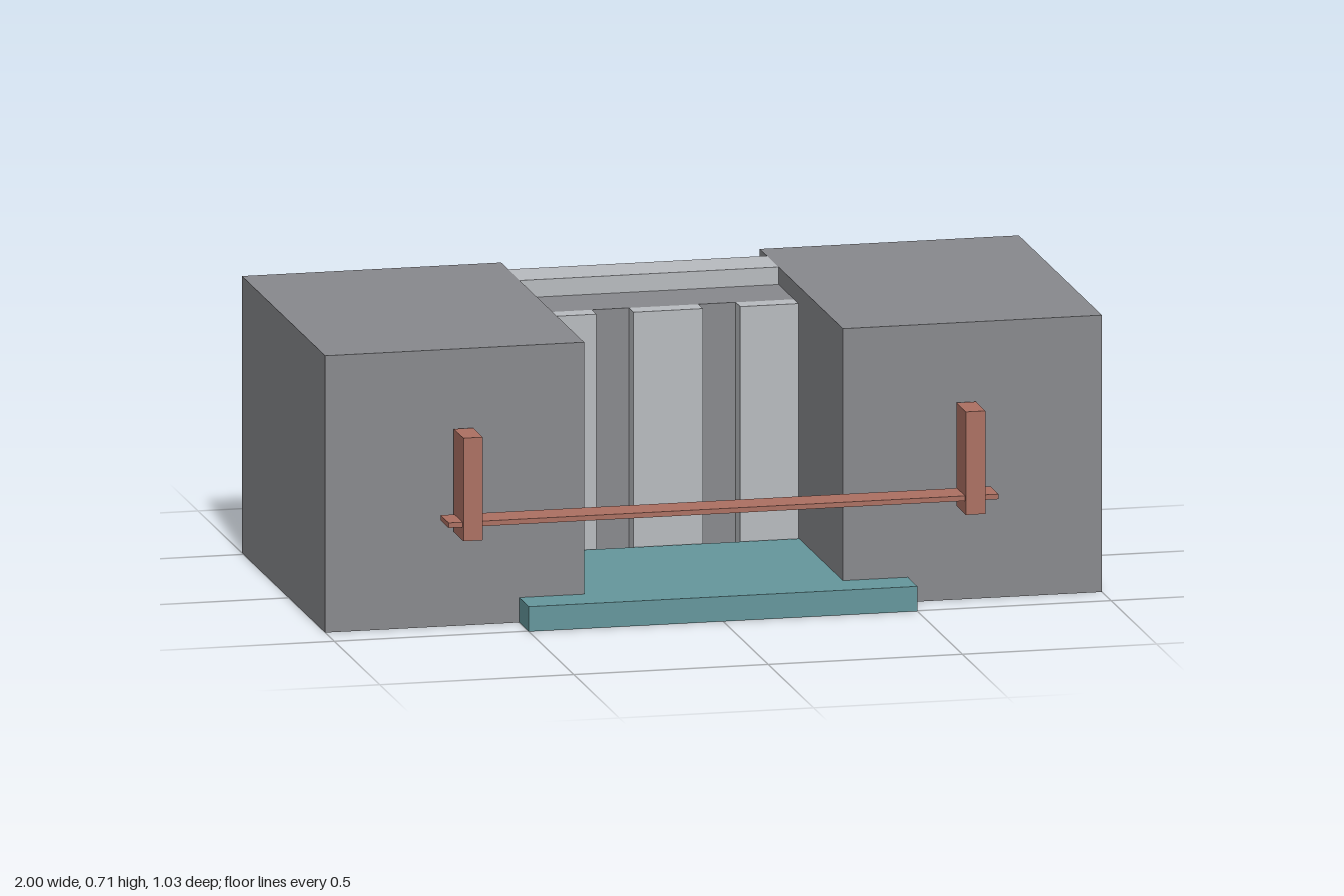
import * as THREE from 'three';

const paint = (name, color) => {
  const m = new THREE.MeshStandardMaterial({ color });
  m.name = name;
  return m;
};

export function createModel() {
  const grey = paint('wall grey', 0x88898d);
  const pale = paint('pale grey', 0xb8bbbf);
  const teal = paint('deck teal', 0x65979c);
  const red = paint('brick red', 0xac7062);
  const model = new THREE.Group();
  model.name = 'building';

  // Box given by its low and high limits on each axis
  const box = (name, material, [x0, x1], [y0, y1], [z0, z1]) => {
    const mesh = new THREE.Mesh(new THREE.BoxGeometry(x1 - x0, y1 - y0, z1 - z0), material);
    mesh.position.set((x0 + x1) / 2, (y0 + y1) / 2, (z0 + z1) / 2);
    mesh.name = name;
    model.add(mesh);
  };

  const inner = 0.333, top = 0.712, low = 0.667;
  const back = -0.517, front = 0.4;

  // Side blocks and the lower wall joining them
  box('leftBlock', grey, [inner, 1], [0, top], [back, front]);
  box('rightBlock', grey, [-1, -inner], [0, top], [back, front]);
  box('backWall', grey, [-inner, inner], [0, low], [back, -0.14]);

  // Roof beam and the pillars on the wall face
  box('roofBeam', pale, [-inner, inner], [low, top], [-0.438, -0.31]);
  for (const [x0, x1] of [[-inner, -0.187], [-0.092, 0.087], [0.183, inner]]) {
    box('pillar', pale, [x0, x1], [0, low], [-0.14, -0.09]);
  }

  // T-shaped entrance deck, drawn in plan and laid flat
  const plan = new THREE.Shape([
    [-0.5, -0.505], [0.5, -0.505], [0.5, -front], [inner, -front],
    [inner, 0.083], [-inner, 0.083], [-inner, -front], [-0.5, -front],
  ].map(([x, y]) => new THREE.Vector2(x, y)));
  const deck = new THREE.Mesh(
    new THREE.ExtrudeGeometry(plan, { depth: 0.064, bevelEnabled: false }).rotateX(-Math.PI / 2), teal);
  deck.name = 'entranceDeck';
  model.add(deck);

  // Crossbar with its two uprights
  box('crossbar', red, [-0.708, 0.708], [0.278, 0.291], [0.419, 0.508]);
  for (const x of [-0.647, 0.647]) {
    box('upright', red, [x - 0.025, x + 0.025], [0.244, 0.509], [0.411, 0.517]);
  }
  return model;
}
